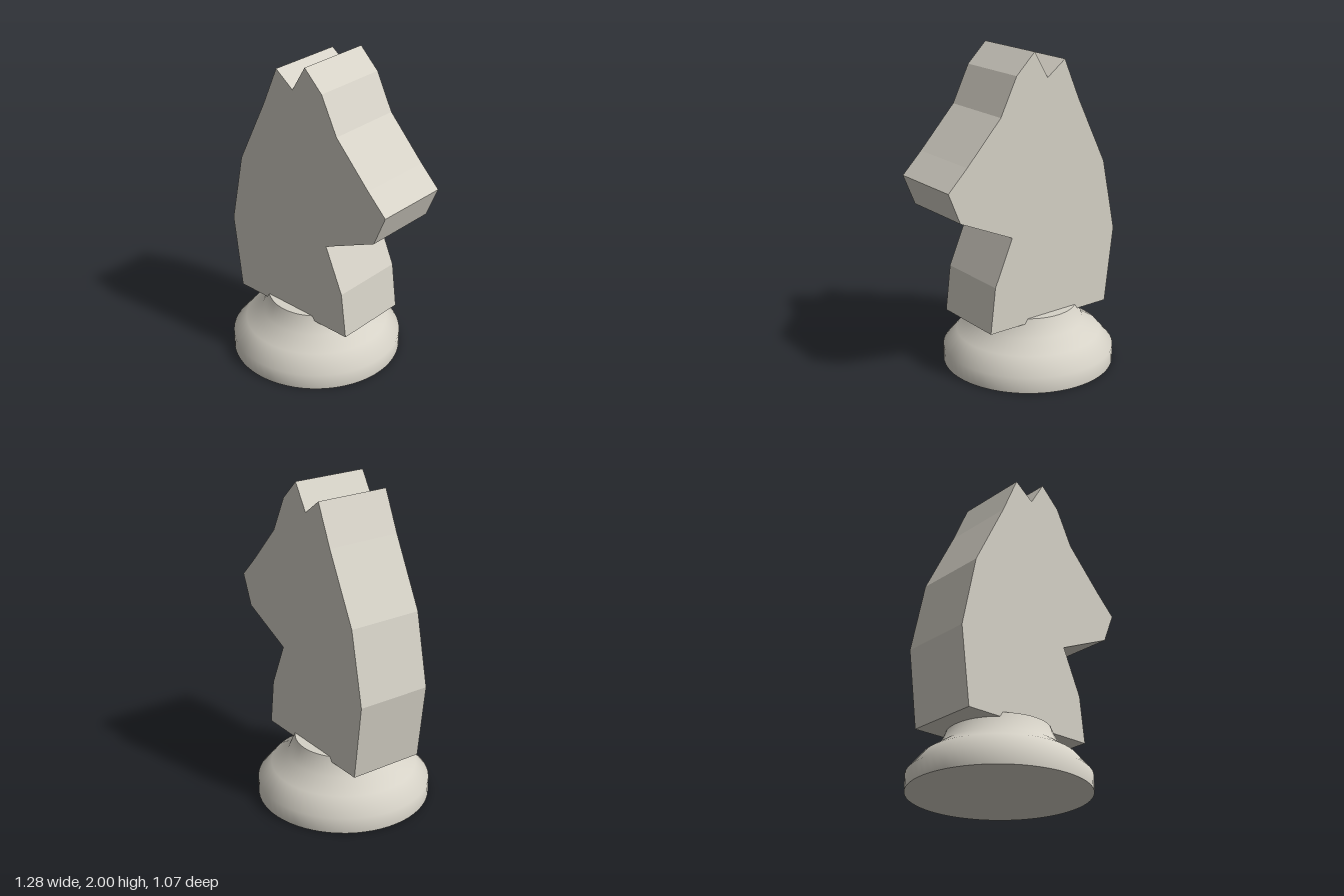
import * as THREE from 'three';

const CX = -0.105;      // centre of the round base
const HALF = 0.238;     // half thickness of the head
const v = (p) => new THREE.Vector2(p[0], p[1]);

export function createModel() {
  const model = new THREE.Group();
  model.name = 'chessKnight';
  const stone = new THREE.MeshStandardMaterial({ color: 0xd6d2c7 });
  stone.name = 'warm pale grey';

  // Turned base: wall and shoulder, smooth around
  const base = new THREE.Group();
  base.name = 'base';
  base.position.x = CX;
  model.add(base);
  const profile = [[0.537, 0], [0.537, 0.1], [0.452, 0.2], [0.348, 0.27], [0.302, 0.38]];
  const body = new THREE.Mesh(new THREE.LatheGeometry(profile.map(v), 64), stone);
  body.name = 'baseBody';
  base.add(body);

  // Flat discs closing the base
  const disc = (name, radius, y, tilt) => {
    const mesh = new THREE.Mesh(new THREE.CircleGeometry(radius, 64), stone);
    mesh.name = name;
    mesh.rotation.x = tilt;
    mesh.position.y = y;
    base.add(mesh);
  };
  disc('baseTop', 0.302, 0.38, -Math.PI / 2);
  disc('baseUnderside', 0.537, 0, Math.PI / 2);

  // Horse head cut from a flat slab, muzzle towards +x
  const outline = [
    [-0.535, 0.35], [0.355, 0.35], [0.32, 0.637], [0.197, 0.922],   // neck front
    [0.56, 1.083], [0.638, 1.272], [0.51, 1.4], [0.276, 1.652],     // muzzle and brow
    [0.165, 1.876], [0.038, 2], [-0.058, 1.842], [-0.184, 1.936],   // ears
    [-0.293, 1.69], [-0.5, 1.275], [-0.595, 0.825],                 // mane
  ];
  const slab = new THREE.ExtrudeGeometry(new THREE.Shape(outline.map(v)), {
    depth: HALF * 2, bevelEnabled: false,
  });
  slab.translate(0, 0, -HALF);
  const head = new THREE.Mesh(slab, stone);
  head.name = 'horseHead';
  model.add(head);

  return model;
}
